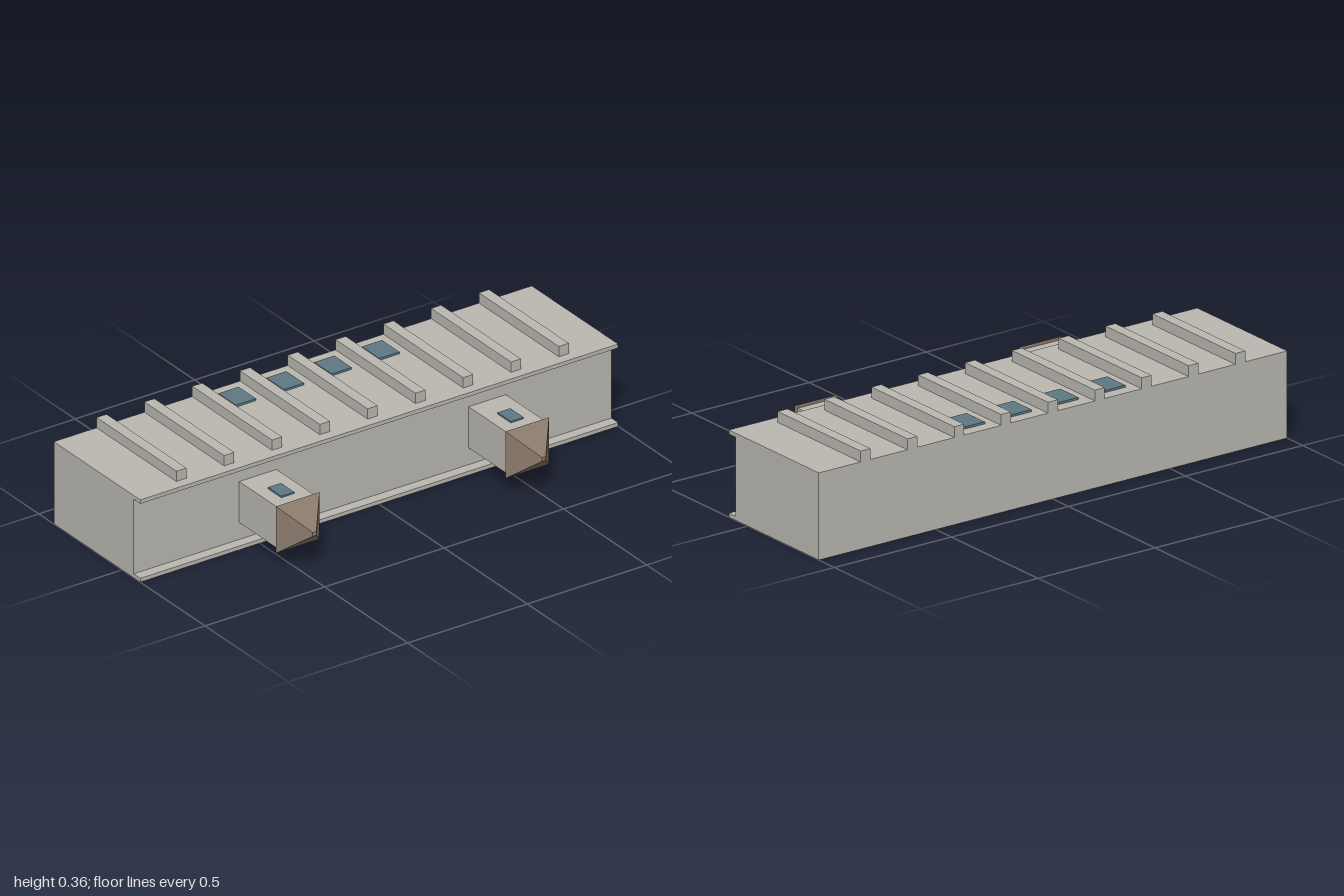
import * as THREE from 'three';

const mat = (name, color) => {
  const m = new THREE.MeshStandardMaterial({ color });
  m.name = name;
  return m;
};

export function createModel() {
  const group = new THREE.Group();
  const stone = mat('stone grey', 0xbab8b0);
  const roof = mat('roof brown', 0x8a7a6c);
  const glass = mat('window blue', 0x5e7882);

  // Box given by its min and max along each axis
  const box = (name, material, [x0, x1], [y0, y1], [z0, z1], parent = group) => {
    const mesh = new THREE.Mesh(new THREE.BoxGeometry(x1 - x0, y1 - y0, z1 - z0), material);
    mesh.position.set((x0 + x1) / 2, (y0 + y1) / 2, (z0 + z1) / 2);
    mesh.name = name;
    parent.add(mesh);
    return mesh;
  };

  // Main block with a C-shaped side section: a thin lip at top and bottom of the front
  const section = new THREE.Shape([
    [0.41, 0], [-0.11, 0], [-0.11, 0.015], [-0.07, 0.015],
    [-0.07, 0.305], [-0.11, 0.305], [-0.11, 0.32], [0.41, 0.32],
  ].map(([u, v]) => new THREE.Vector2(u, v)));
  const hall = new THREE.Mesh(
    new THREE.ExtrudeGeometry(section, { depth: 2, bevelEnabled: false }), stone);
  hall.rotation.y = Math.PI / 2; // section u runs along -z, depth along +x
  hall.position.x = -1;
  hall.name = 'hall';
  group.add(hall);

  // Nine ribs across the top
  for (let i = -4; i <= 4; i++) {
    const x = i * 0.2;
    box('rib', stone, [x - 0.021, x + 0.021], [0.32, 0.36], [-0.41, 0.07]);
  }

  // Four windows between the ribs
  for (const x of [-0.3, -0.1, 0.1, 0.3]) {
    box('topWindow', glass, [x - 0.042, x + 0.042], [0.32, 0.328], [-0.365, -0.26]);
  }

  // Two towers projecting forward, each with a window and a pyramid cap
  for (const side of [-1, 1]) {
    const tower = new THREE.Group();
    tower.name = side > 0 ? 'leftTower' : 'rightTower';
    tower.position.x = side * 0.48;
    group.add(tower);
    box('towerShaft', stone, [-0.078, 0.078], [0.08, 0.24], [0.07, 0.31], tower);
    box('towerWindow', glass, [-0.027, 0.027], [0.24, 0.246], [0.17, 0.25], tower);

    const cap = new THREE.CylinderGeometry(0.011, 0.129, 0.1, 4, 1).toNonIndexed();
    cap.rotateY(Math.PI / 4).rotateX(Math.PI / 2);
    cap.computeVertexNormals();
    const capMesh = new THREE.Mesh(cap, roof);
    capMesh.position.set(0, 0.161, 0.36);
    capMesh.name = 'towerCap';
    tower.add(capMesh);
  }
  return group;
}
